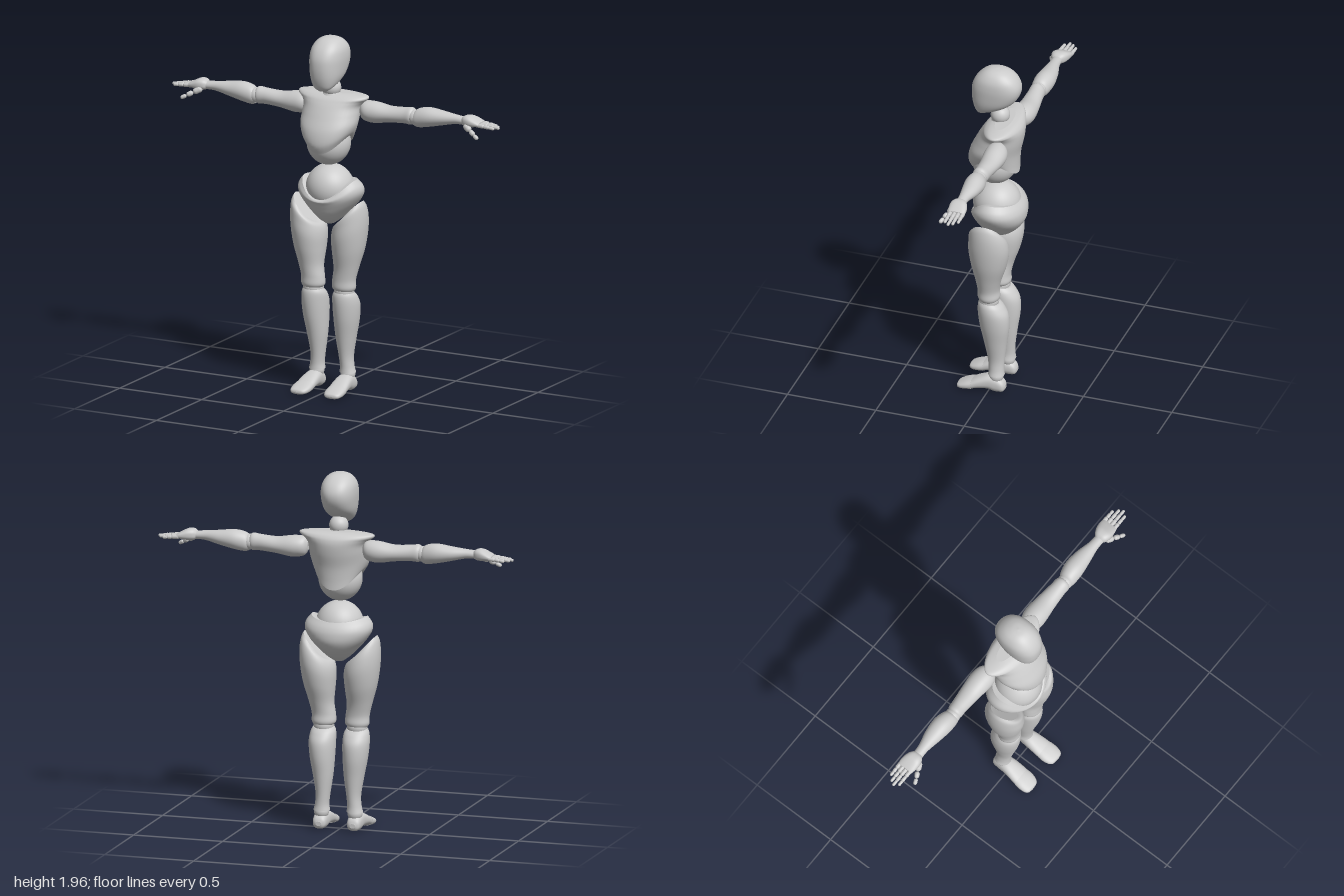
import * as THREE from 'three';

const material = new THREE.MeshStandardMaterial({ color: 0xcccccc });

// Smooth body along axis n (0 x, 1 y, 2 z). Each section is [t, a0, a1, b0, b1],
// where a and b are the next two axes in cyclic order. start/end offset the rims.
function loft(n, sections, { start = () => 0, end = () => 0, p = 2, steps = 6, sides = 40 } = {}) {
  const last = sections.length - 1;
  const sample = (u) => {
    const i = Math.min(Math.floor(u), last - 1), f = u - i;
    return sections[0].map((_, k) => {
      const p1 = sections[i][k], p2 = sections[i + 1][k];
      const p0 = i > 0 ? sections[i - 1][k] : p1, p3 = i + 2 <= last ? sections[i + 2][k] : p2;
      const m1 = (p2 - p0) / 2, m2 = (p3 - p1) / 2, d = p2 - p1;
      return p1 + f * (m1 + f * (3 * d - 2 * m1 - m2 + f * (m1 + m2 - 2 * d)));
    });
  };
  const pos = [], index = [];
  const t0 = sections[0][0], t1 = sections[last][0];
  const put = (a, b, t) => {
    const v = [];
    v[(n + 1) % 3] = a; v[(n + 2) % 3] = b; v[n] = t;
    return pos.push(...v) / 3 - 1;
  };
  const power = (x) => Math.sign(x) * Math.abs(x) ** (2 / p);
  const ring = (u) => {
    const [t, a0, a1, b0, b1] = sample(u), f = (t - t0) / (t1 - t0);
    const first = pos.length / 3;
    for (let j = 0; j < sides; j++) {
      const th = (j / sides) * Math.PI * 2, c = Math.cos(th), s = Math.sin(th);
      put((a0 + a1) / 2 + power(c) * (a1 - a0) / 2, (b0 + b1) / 2 + power(s) * (b1 - b0) / 2,
        t + (1 - f) ** 2 * start(c, s) + f ** 2 * end(c, s));
    }
    return first;
  };
  const rows = last * steps;
  for (let i = 0; i <= rows; i++) {
    const r = ring(i / steps);
    if (i === 0) continue;
    for (let j = 0; j < sides; j++) {
      const k = (j + 1) % sides, q = r - sides;
      index.push(q + j, q + k, r + k, q + j, r + k, r + j);
    }
  }
  // End caps on their own vertices, so the rims stay sharp
  for (const [u, flip] of [[0, true], [last, false]]) {
    const r = ring(u), mid = [0, 0, 0];
    for (let j = 0; j < sides * 3; j++) mid[j % 3] += pos[r * 3 + j] / sides;
    const m = pos.push(...mid) / 3 - 1;
    for (let j = 0; j < sides; j++) {
      const k = (j + 1) % sides;
      index.push(m, r + (flip ? k : j), r + (flip ? j : k));
    }
  }
  const g = new THREE.BufferGeometry();
  g.setAttribute('position', new THREE.Float32BufferAttribute(pos, 3));
  g.setIndex(index);
  g.computeVertexNormals();
  return g;
}

const ball = (x, y, z, rx, ry = rx, rz = rx) =>
  new THREE.SphereGeometry(1, 40, 28).scale(rx, ry, rz).translate(x, y, z);

// Rounded finger bone between two points
function bone(from, to, r) {
  const a = new THREE.Vector3(...from), b = new THREE.Vector3(...to), d = b.clone().sub(a);
  const g = new THREE.CapsuleGeometry(r, Math.max(d.length() - 2 * r, 0.001), 5, 12);
  g.applyQuaternion(new THREE.Quaternion().setFromUnitVectors(new THREE.Vector3(0, 1, 0), d.clone().normalize()));
  return g.translate(...a.add(b).multiplyScalar(0.5).toArray());
}

function mirrored(g) {
  const m = g.clone().scale(-1, 1, 1), ix = m.index.array;
  for (let i = 0; i < ix.length; i += 3) [ix[i], ix[i + 1]] = [ix[i + 1], ix[i]];
  m.computeVertexNormals();
  return m;
}

export function createModel() {
  const model = new THREE.Group();
  const add = (name, g) => {
    const mesh = new THREE.Mesh(g, material);
    mesh.name = name;
    model.add(mesh);
  };
  const pair = (name, g) => {
    add(name + 'Left', g);
    add(name + 'Right', mirrored(g));
  };

  // Head and neck
  add('head', loft(1, [
    [1.668, 0.055, 0.082, -0.022, 0.022], [1.685, 0.03, 0.1, -0.048, 0.048],
    [1.71, -0.035, 0.112, -0.068, 0.068], [1.75, -0.1, 0.122, -0.084, 0.084],
    [1.8, -0.137, 0.126, -0.092, 0.092], [1.85, -0.147, 0.121, -0.095, 0.095],
    [1.895, -0.13, 0.1, -0.089, 0.089], [1.93, -0.095, 0.066, -0.068, 0.068],
    [1.949, -0.055, 0.03, -0.038, 0.038], [1.955, -0.016, -0.008, -0.004, 0.004],
  ], { p: 2.3 }));
  add('neckBall', ball(0, 1.668, -0.03, 0.052));
  add('neckBase', loft(1, [[1.58, -0.09, 0.03, -0.06, 0.06], [1.62, -0.085, 0.022, -0.055, 0.055],
    [1.65, -0.075, 0.01, -0.045, 0.045]]));

  // Rib cage with an arched lower rim and shoulder ledges
  add('chest', loft(1, [
    [1.33, -0.135, 0.122, -0.13, 0.13], [1.38, -0.135, 0.141, -0.146, 0.146],
    [1.45, -0.14, 0.132, -0.16, 0.16], [1.52, -0.155, 0.1, -0.163, 0.163],
    [1.57, -0.161, 0.073, -0.166, 0.166], [1.6, -0.158, 0.053, -0.185, 0.185],
    [1.62, -0.148, 0.035, -0.208, 0.208], [1.635, -0.13, 0.01, -0.198, 0.198],
    [1.643, -0.1, -0.015, -0.12, 0.12],
  ], { start: (c, s) => 0.095 * s * s }));
  add('abdomen', ball(0, 1.372, 0, 0.118, 0.122, 0.122));

  // Waist ball seated in the pelvis, whose rim dips at the front
  add('waistBall', ball(0, 1.122, -0.013, 0.13));
  add('pelvis', loft(1, [
    [0.925, -0.05, 0.015, -0.025, 0.025], [0.955, -0.1, 0.055, -0.065, 0.065],
    [1.0, -0.145, 0.085, -0.11, 0.11], [1.05, -0.172, 0.102, -0.155, 0.155],
    [1.1, -0.175, 0.114, -0.184, 0.184], [1.14, -0.164, 0.122, -0.181, 0.181],
    [1.175, -0.143, 0.118, -0.153, 0.153],
  ], { end: (c) => (c > 0 ? -0.105 : -0.02) * c * c }));

  // Legs
  pair('thigh', loft(1, [
    [0.565, -0.05, 0.05, 0.04, 0.15], [0.585, -0.058, 0.061, 0.027, 0.16],
    [0.63, -0.056, 0.062, 0.03, 0.161], [0.7, -0.07, 0.07, 0.038, 0.178],
    [0.8, -0.1, 0.09, 0.031, 0.205], [0.9, -0.117, 0.103, 0.026, 0.22],
    [0.98, -0.115, 0.102, 0.03, 0.223], [1.04, -0.1, 0.096, 0.045, 0.216],
    [1.07, -0.075, 0.075, 0.075, 0.203],
  ], { end: (c, s) => -0.07 * (1 - s) }));
  pair('kneeBall', ball(0.094, 0.56, 0, 0.056, 0.05, 0.054));
  pair('shin', loft(1, [
    [0.105, -0.085, 0.004, 0.048, 0.138], [0.14, -0.082, 0.003, 0.052, 0.129],
    [0.2, -0.085, 0.01, 0.046, 0.126], [0.3, -0.097, 0.03, 0.032, 0.142],
    [0.4, -0.11, 0.051, 0.025, 0.16], [0.48, -0.107, 0.061, 0.022, 0.167],
    [0.53, -0.083, 0.06, 0.025, 0.162], [0.556, -0.06, 0.048, 0.038, 0.15],
  ], { end: (c) => 0.01 * c }));
  pair('ankleBall', ball(0.094, 0.095, -0.04, 0.04));
  pair('foot', loft(2, [
    [-0.093, 0.08, 0.112, 0.025, 0.048], [-0.08, 0.062, 0.13, 0.008, 0.072],
    [-0.04, 0.055, 0.137, 0.004, 0.097], [0, 0.05, 0.141, 0.014, 0.098],
    [0.05, 0.047, 0.148, 0.013, 0.079], [0.088, 0.047, 0.152, 0.004, 0.06],
  ], { p: 2.4 }));
  pair('toes', loft(2, [
    [0.088, 0.046, 0.154, 0.003, 0.062], [0.12, 0.046, 0.156, 0, 0.051],
    [0.152, 0.055, 0.151, 0, 0.037], [0.168, 0.07, 0.138, 0.004, 0.028],
    [0.173, 0.095, 0.115, 0.012, 0.018],
  ], { p: 2.4 }));

  // Arms
  pair('upperArm', loft(0, [
    [0.155, 1.53, 1.58, -0.1, -0.06], [0.17, 1.505, 1.6, -0.125, -0.035],
    [0.2, 1.493, 1.607, -0.14, -0.02], [0.25, 1.49, 1.605, -0.145, -0.02],
    [0.33, 1.503, 1.593, -0.137, -0.029], [0.42, 1.51, 1.598, -0.125, -0.035],
    [0.465, 1.508, 1.603, -0.12, -0.035], [0.482, 1.525, 1.59, -0.105, -0.05],
  ]));
  pair('elbowBall', ball(0.485, 1.552, -0.076, 0.042));
  pair('forearm', loft(0, [
    [0.485, 1.508, 1.585, -0.113, -0.037], [0.51, 1.5, 1.605, -0.127, -0.03],
    [0.57, 1.509, 1.615, -0.138, -0.028], [0.65, 1.527, 1.606, -0.13, -0.038],
    [0.73, 1.545, 1.597, -0.11, -0.05], [0.785, 1.547, 1.592, -0.106, -0.05],
  ]));

  // Hands
  pair('palm', loft(0, [
    [0.775, 1.553, 1.588, -0.1, -0.055], [0.795, 1.543, 1.602, -0.118, -0.04],
    [0.825, 1.541, 1.603, -0.13, -0.033], [0.86, 1.546, 1.588, -0.135, -0.036],
    [0.885, 1.55, 1.574, -0.132, -0.042],
  ], { p: 2.5 }));
  const fingers = { little: [-0.124, 0.96], ring: [-0.101, 0.985], middle: [-0.079, 0.998], index: [-0.055, 0.978] };
  for (const [name, [z, tip]] of Object.entries(fingers)) {
    const stops = [0, 0.45, 0.74, 1].map((f) => 0.87 + (tip - 0.87) * f);
    for (let i = 0; i < 3; i++) {
      const drop = (k) => 1.561 - 0.003 * k;
      pair(name + 'Finger' + (i + 1),
        bone([stops[i] - 0.006, drop(i), z], [stops[i + 1], drop(i + 1), z], 0.0115 - 0.0015 * i));
    }
  }
  const thumb = [[0.8, 1.555, -0.05], [0.845, 1.532, -0.03], [0.876, 1.515, -0.014], [0.906, 1.499, -0.002]];
  for (let i = 0; i < 3; i++) pair('thumb' + (i + 1), bone(thumb[i], thumb[i + 1], 0.017 - 0.003 * i));

  return model;
}
